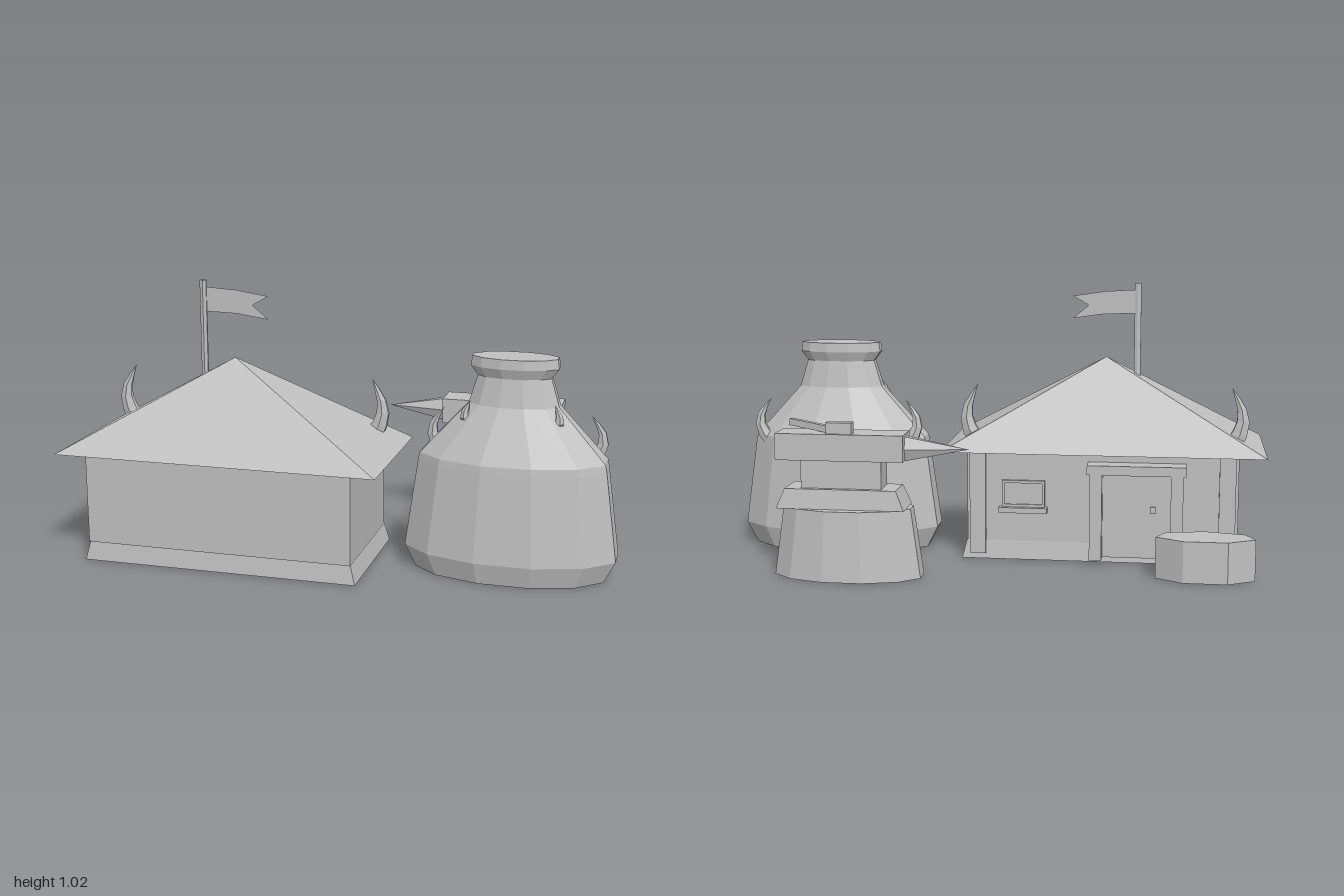
import * as THREE from 'three';

// Double-sided because the round parts and the footing are open underneath
const stone = new THREE.MeshStandardMaterial({ color: 0xc0c0c0, flatShading: true, side: THREE.DoubleSide });
stone.name = 'plain grey';

function add(parent, name, geo, x = 0, y = 0, z = 0) {
  const m = new THREE.Mesh(geo, stone);
  m.name = name;
  m.position.set(x, y, z);
  parent.add(m);
  return m;
}

// Box given by its limits on each axis
function block(parent, name, x0, x1, y0, y1, z0, z1) {
  return add(parent, name, new THREE.BoxGeometry(x1 - x0, y1 - y0, z1 - z0),
    (x0 + x1) / 2, (y0 + y1) / 2, (z0 + z1) / 2);
}

// Four-sided frustum standing on y = 0, with a w by d base
function frustum(w, h, d, topScale, open) {
  const r = Math.SQRT1_2;
  return new THREE.CylinderGeometry(r * topScale, r, h, 4, 1, open)
    .rotateY(Math.PI / 4).scale(w, 1, d).translate(0, h / 2, 0);
}

// Twelve-sided flattened solid, open below; radii are measured to the flat sides
function ovalLathe(profile, flatten) {
  const k = 1 / Math.cos(Math.PI / 12);
  const pts = profile.map(([r, y]) => new THREE.Vector2(r * k, y));
  return new THREE.LatheGeometry(pts, 12, Math.PI / 12).scale(1, 1, flatten);
}

// Curved horn tapering to a point, narrower in z
function horn(points, radius) {
  const curve = new THREE.CatmullRomCurve3(points.map(p => new THREE.Vector3(...p)));
  const rows = 5, sides = 6;
  const g = new THREE.TubeGeometry(curve, rows, radius, sides);
  const p = g.attributes.position, v = new THREE.Vector3();
  for (let i = 0; i < p.count; i++) {
    const t = Math.floor(i / (sides + 1)) / rows;
    const c = curve.getPointAt(t);
    v.fromBufferAttribute(p, i).lerp(c, Math.pow(t, 1.6));
    p.setXYZ(i, v.x, v.y, c.z + (v.z - c.z) * 0.65);
  }
  return g;
}

function buildHouse() {
  const g = new THREE.Group();
  g.name = 'house';
  block(g, 'walls', -0.9, 0.1, 0.065, 0.41, -0.055, 0.43);
  add(g, 'flaredFooting', frustum(1.03, 0.07, 0.51, 0.965, true), -0.395, 0, 0.19);
  add(g, 'roof', frustum(1.2, 0.335, 0.58, 0, false), -0.4, 0.405, 0.19);

  // Roof horns
  for (const s of [-1, 1]) {
    add(g, 'roofHorn', horn([[s * 0.48, 0.44, 0.02], [s * 0.51, 0.5, 0.02],
      [s * 0.51, 0.56, 0.02], [s * 0.47, 0.65, 0.015]], 0.034), -0.4);
  }

  // Corner posts on the back wall
  block(g, 'cornerPost', -0.89, -0.83, 0.02, 0.405, -0.07, -0.04);
  block(g, 'cornerPost', 0.03, 0.09, 0.02, 0.405, -0.07, -0.04);

  // Doorway
  block(g, 'doorPost', -0.7, -0.655, 0.02, 0.34, -0.13, -0.05);
  block(g, 'doorPost', -0.405, -0.36, 0.02, 0.34, -0.13, -0.05);
  block(g, 'lintel', -0.71, -0.35, 0.34, 0.375, -0.135, -0.05);
  block(g, 'door', -0.655, -0.405, 0.02, 0.34, -0.07, -0.05);
  block(g, 'doorKnob', -0.6, -0.58, 0.19, 0.215, -0.08, -0.07);

  // Window with frame and sill
  block(g, 'windowPane', -0.18, -0.04, 0.21, 0.29, -0.06, -0.05);
  for (const y of [0.2, 0.29]) block(g, 'windowFrame', -0.19, -0.03, y, y + 0.01, -0.066, -0.05);
  for (const x of [-0.19, -0.04]) block(g, 'windowFrame', x, x + 0.01, 0.2, 0.3, -0.066, -0.05);
  block(g, 'windowSill', -0.2, -0.02, 0.18, 0.2, -0.085, -0.05);

  // Flag on a flattened pole
  const pole = new THREE.CylinderGeometry(0.014, 0.014, 0.36, 6).scale(1, 1, 0.55);
  add(g, 'flagPole', pole, -0.517, 0.84, 0.193);
  const flag = new THREE.Shape([[-0.51, 0.995], [-0.51, 0.905], [-0.39, 0.902], [-0.27, 0.885],
    [-0.33, 0.935], [-0.27, 0.97], [-0.39, 0.988]].map(p => new THREE.Vector2(...p)));
  add(g, 'flag', new THREE.ShapeGeometry(flag), 0, 0, 0.193);
  return g;
}

function buildFurnace() {
  const g = new THREE.Group();
  g.name = 'furnace';
  g.position.set(0.62, 0, 0.138);
  add(g, 'furnaceBody', ovalLathe([[0.34, 0], [0.38, 0.08], [0.335, 0.405], [0.33, 0.43],
    [0.16, 0.62], [0.13, 0.72], [0.155, 0.755], [0.15, 0.79], [0, 0.79]], 0.505));
  for (const s of [-1, 1]) {
    add(g, 'sideHorn', horn([[s * 0.27, 0.41, -0.075], [s * 0.305, 0.46, -0.075],
      [s * 0.305, 0.51, -0.074], [s * 0.265, 0.575, -0.07]], 0.028));
    add(g, 'frontHorn', horn([[s * 0.13, 0.555, 0.045], [s * 0.162, 0.565, 0.055],
      [s * 0.166, 0.59, 0.056], [s * 0.148, 0.635, 0.052]], 0.024));
  }
  // Fire opening and tray at the back
  for (const s of [-1, 1]) {
    const x = s * 0.138;
    block(g, 'openingPost', x - 0.022, x + 0.022, 0.09, 0.25, -0.195, -0.12);
    block(g, 'traySide', s * 0.108 - 0.01, s * 0.108 + 0.01, 0.02, 0.095, -0.325, -0.14);
  }
  block(g, 'openingLintel', -0.16, 0.16, 0.2, 0.25, -0.195, -0.12);
  block(g, 'trayFloor', -0.1, 0.1, 0.02, 0.05, -0.325, -0.14);
  block(g, 'trayLip', -0.118, 0.118, 0.02, 0.09, -0.328, -0.31);
  return g;
}

function buildAnvil() {
  const g = new THREE.Group();
  g.name = 'anvil';
  g.position.set(0.485, 0, -0.348);
  add(g, 'anvilStump', ovalLathe([[0.265, 0], [0.23, 0.25], [0, 0.25]], 0.51));
  add(g, 'anvilFoot', frustum(0.46, 0.07, 0.155, 0.87, false), 0.015, 0.25, -0.004);
  block(g, 'anvilWaist', -0.13, 0.16, 0.32, 0.42, -0.052, 0.048);
  block(g, 'anvilFace', -0.21, 0.25, 0.42, 0.515, -0.062, 0.063);
  const tip = new THREE.ConeGeometry(0.04, 0.225, 6).rotateZ(Math.PI / 2).scale(1, 1.25, 0.85);
  add(g, 'anvilHorn', tip, -0.322, 0.462, -0.002);
  // Hammer lying on the anvil
  block(g, 'hammerHead', -0.025, 0.068, 0.515, 0.555, -0.05, -0.013);
  const handle = add(g, 'hammerHandle', new THREE.BoxGeometry(0.2, 0.024, 0.02), 0.125, 0.533, 0.008);
  handle.rotation.set(0, -0.36, 0.1);
  return g;
}

// Seven-sided chopping stump behind the house
function buildStump() {
  const profile = [[1, 0], [1, 0.15], [0, 0.15]].map(p => new THREE.Vector2(...p));
  return new THREE.LatheGeometry(profile, 7).scale(0.18, 1, 0.088);
}

export function createModel() {
  const model = new THREE.Group();
  model.name = 'smithy';
  model.add(buildHouse(), buildFurnace(), buildAnvil());
  add(model, 'choppingStump', buildStump(), -0.78, 0, -0.251);
  return model;
}
